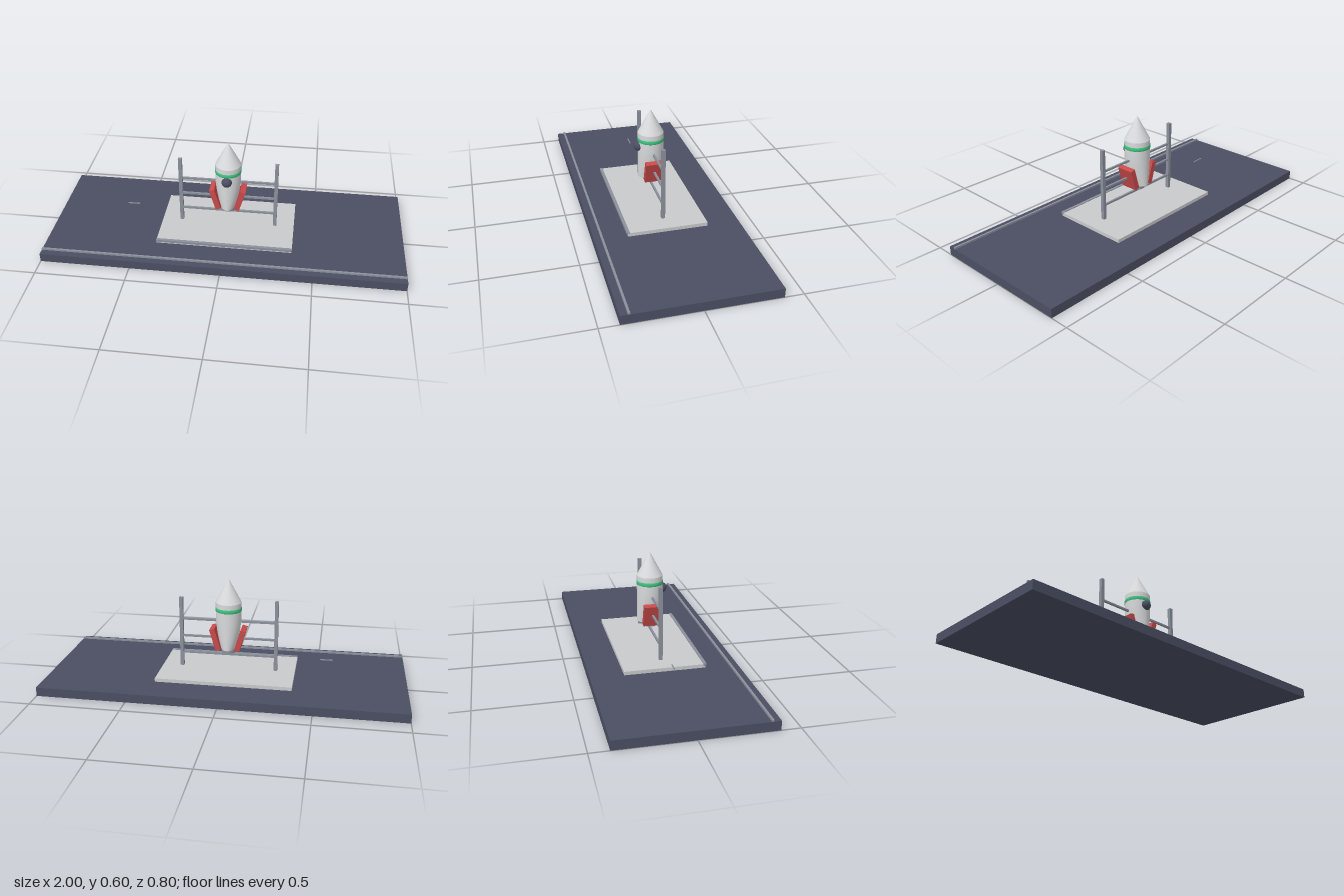
import * as THREE from 'three';

const mat = (name, color, extra = {}) => {
  const m = new THREE.MeshStandardMaterial({ color, ...extra });
  m.name = name;
  return m;
};

export function createModel() {
  const slate = mat('slate', 0x4b4f63);
  const concrete = mat('concrete', 0xc9cacc);
  const steel = mat('steel', 0x8b919c);
  const white = mat('hullWhite', 0xd9dadc);
  const red = mat('finRed', 0xc94a4a);
  const green = mat('bandGreen', 0x3fc480);

  const model = new THREE.Group();
  model.name = 'rocketOnPad';

  const add = (parent, name, geometry, material, x, y, z) => {
    const mesh = new THREE.Mesh(geometry, material);
    mesh.name = name;
    mesh.position.set(x, y, z);
    parent.add(mesh);
    return mesh;
  };
  const box = (parent, name, w, h, d, material, x, y, z) =>
    add(parent, name, new THREE.BoxGeometry(w, h, d), material, x, y, z);

  // Ground slab, launch pad and their front trims
  box(model, 'base', 2, 0.05, 0.8, slate, 0, 0.025, 0);
  box(model, 'frontRail', 2, 0.01, 0.011, steel, 0, 0.055, 0.357);
  box(model, 'pad', 0.76, 0.02, 0.44, concrete, 0, 0.06, 0);
  box(model, 'padTrim', 0.76, 0.014, 0.016, steel, 0, 0.067, 0.218);

  // Gantry: two posts joined by three crossbars
  const gantry = new THREE.Group();
  gantry.name = 'gantry';
  model.add(gantry);
  for (const s of [-1, 1]) box(gantry, 'post', 0.02, 0.41, 0.02, steel, s * 0.27, 0.275, 0);
  for (const y of [0.152, 0.252, 0.353]) box(gantry, 'crossbar', 0.54, 0.011, 0.011, steel, 0, y, 0);

  // Small floating bar to one side
  box(model, 'floatingBar', 0.07, 0.005, 0.005, steel, -0.552, 0.152, 0);

  // Rocket
  const rocket = new THREE.Group();
  rocket.name = 'rocket';
  model.add(rocket);

  // Hull: round above, pinched from side to side towards the bottom
  const bottom = 0.197, top = 0.465, radius = 0.072;
  const hull = new THREE.CylinderGeometry(radius, radius, top - bottom, 32, 14);
  hull.translate(0, (top + bottom) / 2, 0);
  const p = hull.attributes.position;
  for (let i = 0; i < p.count; i++) {
    const t = Math.max(0, (0.4 - p.getY(i)) / (0.4 - bottom));
    p.setX(i, p.getX(i) * (1 - 0.42 * t * t));
  }
  hull.computeVertexNormals();
  add(rocket, 'hull', hull, white, 0, 0, 0);

  add(rocket, 'noseCone', new THREE.ConeGeometry(radius, 0.135, 32), white, 0, 0.5325, 0);
  add(rocket, 'nozzle', new THREE.CylinderGeometry(0.042, 0.042, 0.035, 24), steel, 0, 0.1875, 0);

  // Rounded band around the hull
  const band = [[0.071, -0.012], [0.0735, -0.009], [0.0745, 0], [0.0735, 0.009], [0.071, 0.012]];
  add(rocket, 'band', new THREE.LatheGeometry(band.map(([r, y]) => new THREE.Vector2(r, y)), 32),
    green, 0, 0.426, 0);

  // Porthole dome
  add(rocket, 'porthole', new THREE.SphereGeometry(0.029, 24, 16), slate, 0, 0.387, 0.0675);

  // Side fins leaning outwards at the top
  for (const s of [-1, 1]) {
    const fin = box(rocket, 'fin', 0.03, 0.128, 0.1, red, s * 0.07, 0.251, 0);
    fin.rotation.z = -s * 0.29;
  }

  return model;
}
